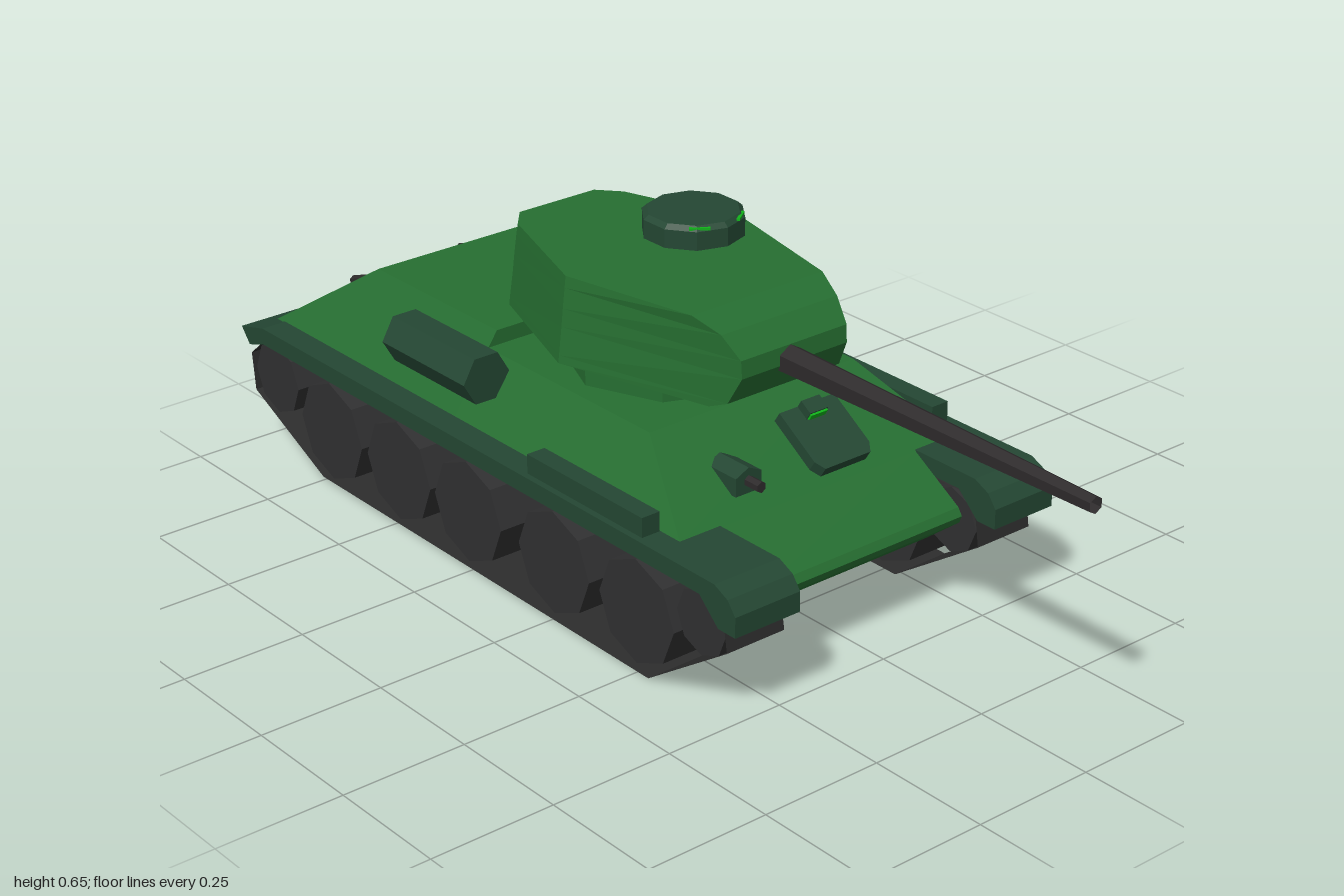
import * as THREE from 'three';

const paint = (name, color, side = THREE.FrontSide) => {
  const m = new THREE.MeshStandardMaterial({ color, side });
  m.name = name;
  return m;
};

// Splits shared vertices so every face is flat
function flat(geo) {
  const g = geo.index ? geo.toNonIndexed() : geo;
  g.computeVertexNormals();
  return g;
}

// Skins equal-length closed loops of [x, y, z], optionally capping both ends
function loft(loops, caps = true) {
  const out = [];
  const tri = (a, b, c) => out.push(...a, ...b, ...c);
  const n = loops[0].length;
  for (let i = 0; i < loops.length - 1; i++) {
    for (let j = 0; j < n; j++) {
      const k = (j + 1) % n;
      const a = loops[i][j], b = loops[i][k], c = loops[i + 1][k], d = loops[i + 1][j];
      tri(a, b, c);
      tri(a, c, d);
    }
  }
  if (caps) {
    const first = loops[0], last = loops[loops.length - 1];
    for (let j = 1; j < n - 1; j++) {
      tri(first[0], first[j + 1], first[j]);
      tri(last[0], last[j], last[j + 1]);
    }
  }
  const g = new THREE.BufferGeometry();
  g.setAttribute('position', new THREE.Float32BufferAttribute(out, 3));
  g.computeVertexNormals();
  return g;
}

const shapeOf = pts => new THREE.Shape(pts.map(p => new THREE.Vector2(p[0], p[1])));

// Extrudes a [z, y] side profile between two x positions
function sideExtrude(pts, x0, x1) {
  const g = new THREE.ExtrudeGeometry(shapeOf(pts), { depth: x1 - x0, bevelEnabled: false });
  return g.rotateY(-Math.PI / 2).translate(x1, 0, 0);
}

export function createModel() {
  const hullGreen = paint('hull green', 0x266e31);
  const darkGreen = paint('dark green', 0x244733);
  const rubber = paint('wheel black', 0x303031);
  const trackBlack = paint('track black', 0x2d2d2d, THREE.DoubleSide);
  const gunMetal = paint('gun metal', 0x2d2a2b, THREE.DoubleSide);
  const glass = paint('visor green', 0x10b41a);

  const model = new THREE.Group();
  model.name = 'tank';
  const add = (name, geo, mat, x = 0, y = 0, z = 0, parent = model) => {
    const m = new THREE.Mesh(geo, mat);
    m.name = name;
    m.position.set(x, y, z);
    parent.add(m);
    return m;
  };

  // Lower hull between the tracks
  add('lowerHull', sideExtrude([
    [0.326, 0.28], [0.442, 0.21], [0.452, 0.195], [0.446, 0.18], [0.36, 0.113],
    [-0.86, 0.113], [-0.965, 0.228], [-0.975, 0.26], [-0.946, 0.28],
  ], -0.235, 0.235), hullGreen);

  // Sloped upper hull, with the engine deck a step higher: [z, top y, top half width]
  const base = 0.28;
  add('upperHull', loft([
    [-0.946, base, 0.33], [-0.73, 0.43, 0.225], [-0.34, 0.43, 0.225],
    [-0.34, 0.4, 0.246], [0.14, 0.4, 0.246], [0.326, base, 0.33],
  ].map(([z, y, w]) => [[0.33, base, z], [w, y, z], [-w, y, z], [-0.33, base, z]])), hullGreen);

  // Turret ring
  add('turretRing', flat(new THREE.CylinderGeometry(0.21, 0.21, 0.05, 8)), hullGreen, 0, 0.42, -0.09);

  // Turret with rounded nose: [y, front z, widest half width, rear z]
  add('turret', loft([
    [0.44, 0.19, 0.236, -0.45], [0.455, 0.228, 0.234, -0.449], [0.51, 0.257, 0.227, -0.443],
    [0.545, 0.255, 0.223, -0.44], [0.585, 0.215, 0.218, -0.436], [0.608, 0.155, 0.215, -0.433],
  ].map(([y, f, w, r]) => {
    const nose = 0.125 + (0.257 - f) * 0.3;
    const half = [[nose, f], [w, -0.13], [w * 0.6, r + 0.045], [w * 0.42, r]];
    return [...half.map(([x, z]) => [x - 0.005, y, z]),
      ...half.reverse().map(([x, z]) => [-x - 0.005, y, z])];
  })), hullGreen);

  // Hollow tapering gun barrel
  const barrel = new THREE.CylinderGeometry(0.016, 0.03, 0.76, 6, 1, true).rotateX(Math.PI / 2);
  add('gunBarrel', flat(barrel), gunMetal, -0.015, 0.515, 0.62);

  // Commander's cupola with a bevelled lid and vision slits
  const cupola = new THREE.Group();
  cupola.name = 'cupola';
  cupola.position.set(0.097, 0, -0.147);
  model.add(cupola);
  const ring = [[0, 0.6], [0.1, 0.6], [0.1, 0.645], [0.09, 0.654], [0, 0.654]];
  add('cupolaBody', flat(new THREE.LatheGeometry(ring.map(p => new THREE.Vector2(...p)), 10)),
    darkGreen, 0, 0, 0, cupola);
  for (const s of [-1, 1]) {
    const slit = add('cupolaSlit', new THREE.BoxGeometry(0.04, 0.005, 0.006), glass,
      s * 0.05, 0.649, 0.078, cupola);
    slit.rotation.y = s * 0.63;
  }

  // Fittings on the front plate: local y runs up the slope, local z points out
  const glacis = new THREE.Group();
  glacis.name = 'frontPlateFittings';
  glacis.position.set(0, 0.205, 0.45);
  glacis.rotation.x = -0.998;
  model.add(glacis);
  const hatch = shapeOf([[0.012, 0.165], [0.122, 0.165], [0.134, 0.185], [0.134, 0.3], [0, 0.3], [0, 0.185]]);
  add('driverHatch', new THREE.ExtrudeGeometry(hatch, { depth: 0.024, bevelEnabled: false }),
    darkGreen, 0, 0, 0, glacis);
  add('periscope', new THREE.BoxGeometry(0.044, 0.03, 0.02), darkGreen, 0.066, 0.285, 0.032, glacis);
  add('periscopeGlass', new THREE.BoxGeometry(0.04, 0.006, 0.014), glass, 0.066, 0.269, 0.032, glacis);

  // Hull machine gun
  const mount = shapeOf([[-0.03, -0.024], [0.03, -0.024], [0.03, 0.012], [0, 0.026], [-0.03, 0.012]]);
  add('machineGunMount', new THREE.ExtrudeGeometry(mount, { depth: 0.08, bevelEnabled: false }),
    darkGreen, -0.146, 0.331, 0.215);
  add('machineGunBarrel', flat(new THREE.CylinderGeometry(0.011, 0.011, 0.05, 6).rotateX(Math.PI / 2)),
    gunMetal, -0.146, 0.331, 0.305);

  const wheels = [ // z, y, radius
    [0.42, 0.175, 0.066], [0.24, 0.12, 0.105], [0, 0.12, 0.105], [-0.265, 0.12, 0.105],
    [-0.49, 0.12, 0.105], [-0.72, 0.12, 0.105], [-0.91, 0.17, 0.076],
  ];
  const trackPath = [ // z, y
    [0.28, 0.003], [-0.75, 0.01], [-0.985, 0.12], [-0.993, 0.2], [-0.94, 0.245],
    [0.44, 0.245], [0.485, 0.21], [0.495, 0.147],
  ];
  const fender = [ // z, y
    [0.535, 0.2], [0.535, 0.24], [0.515, 0.266], [0.48, 0.282], [-0.92, 0.282], [-0.998, 0.262],
    [-0.972, 0.23], [-0.92, 0.247], [0.44, 0.247], [0.49, 0.2],
  ];

  for (const s of [-1, 1]) {
    const side = new THREE.Group();
    side.name = s > 0 ? 'leftSide' : 'rightSide';
    model.add(side);
    const span = (a, b) => (s > 0 ? [a, b] : [-b, -a]);

    // Running gear
    for (const [z, y, r] of wheels) {
      const g = new THREE.CylinderGeometry(r, r, 0.122, 8).rotateZ(Math.PI / 2);
      add('wheel', flat(g), rubber, s * 0.3, y, z, side);
    }
    const [t0, t1] = span(0.236, 0.367);
    add('track', loft([t0, t1].map(x => trackPath.map(([z, y]) => [x, y, z])), false),
      trackBlack, 0, 0, 0, side);

    // Fender, stowage box and fuel drum
    add('fender', sideExtrude(fender, ...span(0.236, 0.383)), darkGreen, 0, 0, 0, side);
    add('stowageBox', new THREE.BoxGeometry(0.04, 0.042, 0.33), darkGreen, s * 0.35, 0.3, 0.105, side);
    const drum = new THREE.CylinderGeometry(0.053, 0.053, 0.262, 6).rotateY(Math.PI / 6).rotateX(Math.PI / 2);
    add('fuelDrum', flat(drum), darkGreen, s * 0.309, 0.383, -0.392, side);

    // Exhaust pipe on the rear slope
    const pipe = add('exhaustPipe', flat(new THREE.CylinderGeometry(0.011, 0.011, 0.09, 6)),
      gunMetal, s * 0.134, 0.322, -0.915, side);
    pipe.rotation.x = Math.PI / 2 - 0.35;
  }
  return model;
}
